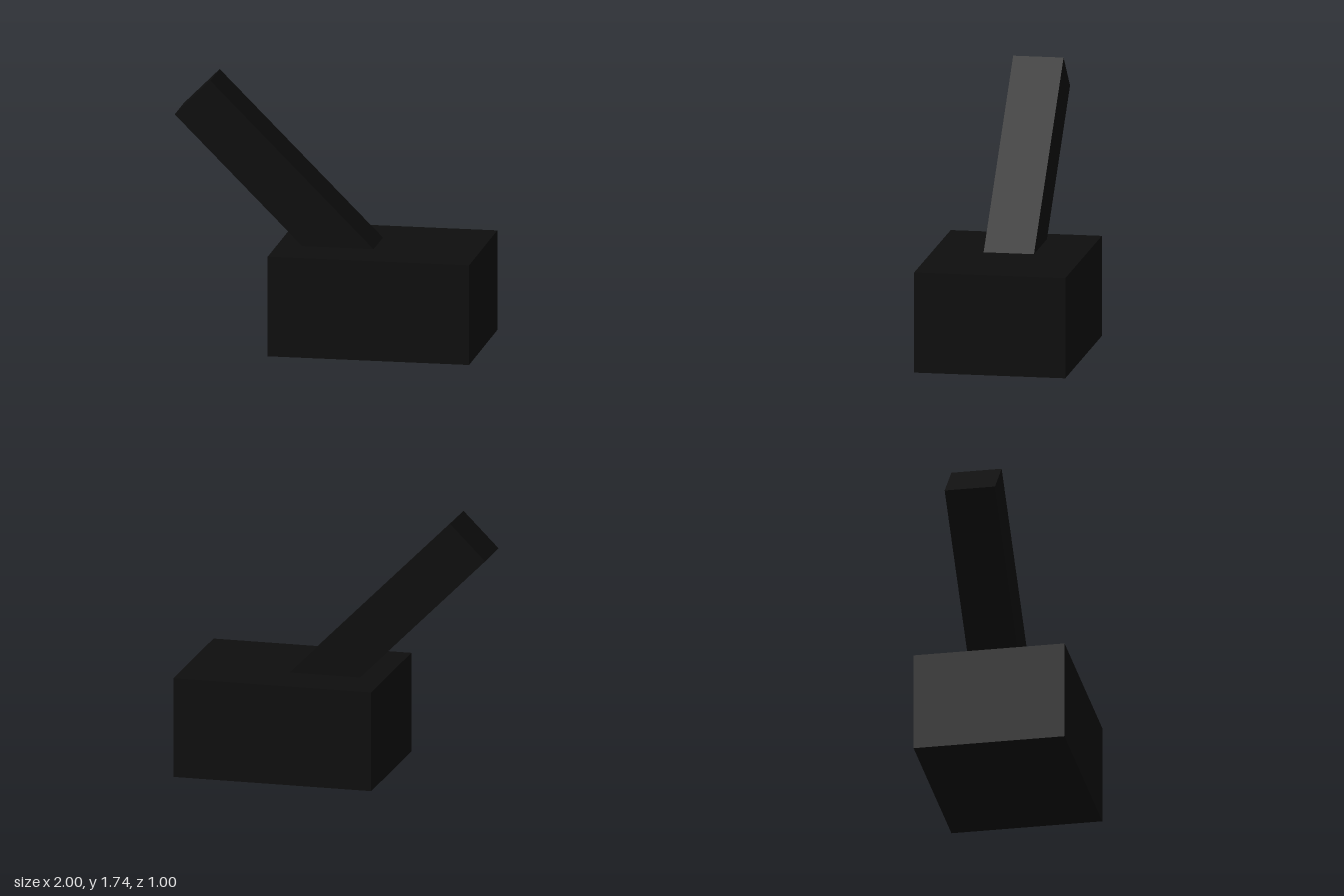
import * as THREE from 'three';

export function createModel() {
  const model = new THREE.Group();
  const black = new THREE.MeshStandardMaterial({ color: 0x0d0d0d });
  black.name = 'matte black';

  const unit = 0.3317; // the lever is one unit thick

  const addBox = (name, w, h, d, x, y) => {
    const mesh = new THREE.Mesh(new THREE.BoxGeometry(w * unit, h * unit, d * unit), black);
    mesh.name = name;
    mesh.position.set(x, y, 0);
    model.add(mesh);
    return mesh;
  };

  // Block standing on the ground
  addBox('base', 4, 2, 3, 1 - 2 * unit, unit);

  // Square lever leaning 45 degrees, its foot sunk into the base
  const lever = addBox('lever', 1, 5, 1, -0.298, 1.035);
  lever.rotation.z = Math.PI / 4;

  return model;
}
